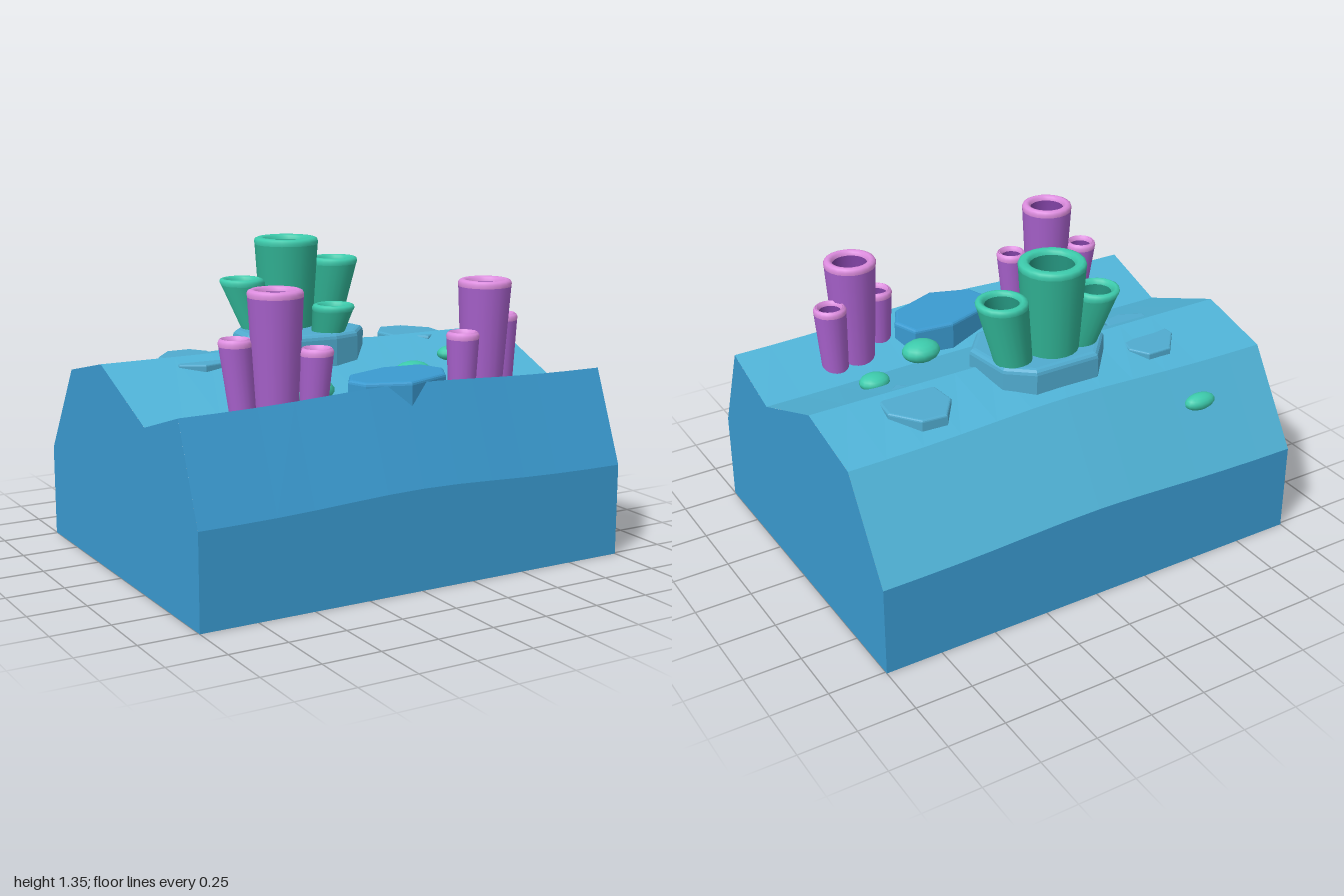
import * as THREE from 'three';

const mat = (name, color, side = THREE.FrontSide) => {
  const m = new THREE.MeshStandardMaterial({ color, side });
  m.name = name;
  return m;
};

export function createModel() {
  const model = new THREE.Group();
  model.name = 'reefBlock';

  const earth = mat('deep blue', 0x3a9ad0);
  const sand = mat('light blue', 0x50b3d7);
  const stone = mat('rock blue', 0x50abcf);
  const green = mat('green', 0x30b193);
  const greenRim = mat('green rim', 0x3ccaab);
  const greenInside = mat('green inside', 0x23917c);
  const purple = mat('purple', 0xa660ca);
  const purpleRim = mat('pink rim', 0xdc8cde);
  const purpleInside = mat('purple inside', 0x7d40a0);

  const add = (name, geometry, material, parent = model) => {
    const mesh = new THREE.Mesh(geometry, material);
    mesh.name = name;
    parent.add(mesh);
    return mesh;
  };

  // Terrain: cross-section [z, y, swell], swept along x with a gentle swell
  const profile = [
    [0.76, 0, 0], [0.76, 0.4, 0.03], [0.6, 0.8, 0.03], [0.28, 0.7, 0.012],
    [-0.16, 0.88, 0], [-0.5, 0.8, 0.03], [-0.76, 0.4, 0.03], [-0.76, 0, 0],
  ];
  const swell = (x) => Math.exp(-((x / 0.5) ** 2));
  const point = ([z, y, s], x) => [x, y + s * swell(x), z];
  const strip = (first, last) => {
    const out = [];
    const steps = 12;
    for (let k = first; k < last; k++) {
      for (let i = 0; i < steps; i++) {
        const x0 = -1 + (2 * i) / steps, x1 = -1 + (2 * (i + 1)) / steps;
        const a = point(profile[k], x0), b = point(profile[k], x1);
        const c = point(profile[(k + 1) % 8], x1), d = point(profile[(k + 1) % 8], x0);
        out.push(...a, ...b, ...c, ...a, ...c, ...d);
      }
    }
    return out;
  };
  const toGeometry = (positions) => {
    const g = new THREE.BufferGeometry();
    g.setAttribute('position', new THREE.Float32BufferAttribute(positions, 3));
    g.computeVertexNormals();
    return g;
  };
  add('terrainTop', toGeometry(strip(2, 6)), sand);
  const ends = [];
  const outline = profile.map(([z, y]) => new THREE.Vector2(z, y));
  for (const [a, b, c] of THREE.ShapeUtils.triangulateShape(outline, [])) {
    const p = [a, b, c].map((i) => outline[i]);
    // orient each triangle so the +x end faces outward
    const area = (p[1].x - p[0].x) * (p[2].y - p[0].y) - (p[1].y - p[0].y) * (p[2].x - p[0].x);
    if (area > 0) p.reverse();
    for (const q of p) ends.push(1, point([q.x, q.y, 0], 1)[1], q.x);
    for (const q of p.slice().reverse()) ends.push(-1, q.y, q.x);
  }
  add('terrainBody', toGeometry([...strip(0, 2), ...strip(6, 8), ...ends]), earth);

  // Flat bevelled rocks, outlined in [x, z]
  const rock = (name, points, bottom, top, bevel, material) => {
    const shape = new THREE.Shape(points.map(([x, z]) => new THREE.Vector2(x, -z)));
    const g = new THREE.ExtrudeGeometry(shape, {
      depth: top - bottom - 2 * bevel, bevelThickness: bevel, bevelSize: bevel,
      bevelOffset: -bevel, bevelSegments: 3,
    });
    g.rotateX(-Math.PI / 2).translate(0, bottom + bevel, 0);
    add(name, g, material);
  };
  rock('frontRock', [[-0.19, 0.48], [-0.12, 0.37], [0.08, 0.3], [0.26, 0.32], [0.3, 0.44],
    [0.24, 0.55], [0.02, 0.635], [-0.16, 0.57]], 0.66, 0.843, 0.015, earth);
  rock('centreRock', [[-0.34, -0.13], [-0.33, -0.28], [-0.2, -0.43], [0.1, -0.43], [0.21, -0.34],
    [0.24, -0.12], [0.14, 0], [0.02, 0.03], [-0.18, 0.015]], 0.76, 0.95, 0.025, stone);
  rock('leftBackRock', [[0.44, -0.32], [0.52, -0.43], [0.63, -0.42], [0.72, -0.3],
    [0.71, -0.2], [0.58, -0.1], [0.45, -0.2]], 0.78, 0.872, 0.01, stone);
  rock('rightBackRock', [[-0.68, -0.3], [-0.59, -0.41], [-0.48, -0.41], [-0.43, -0.33],
    [-0.49, -0.05], [-0.58, -0.03], [-0.68, -0.08]], 0.78, 0.859, 0.008, stone);

  // Tube corals: hollow flaring tubes, sheared from base to top
  const tube = (name, base, top, rBase, rTop, colours, floorY) => {
    const group = new THREE.Group();
    group.name = name;
    const [bx, by, bz] = base, [tx, ty, tz] = top;
    const h = ty - by, lip = 0.03;
    const inTop = rTop * 0.66, inBase = rBase * 0.62;
    const rAt = (y) => rBase + (rTop - rBase) * (y / h);
    const lathe = (part, points, material) => {
      const g = new THREE.LatheGeometry(points.map(([r, y]) => new THREE.Vector2(r, y)), 20);
      const p = g.attributes.position;
      for (let i = 0; i < p.count; i++) {
        const t = p.getY(i) / h;
        p.setXYZ(i, p.getX(i) + bx + (tx - bx) * t, p.getY(i) + by, p.getZ(i) + bz + (tz - bz) * t);
      }
      add(part, g, material, group);
    };
    lathe('tubeWall', [[rBase, 0], [rAt(h - lip), h - lip]], colours[0]);
    lathe('tubeRim', [[rAt(h - lip), h - lip], [rTop, h - 0.016], [rTop - 0.005, h - 0.005],
      [rTop - 0.016, h], [inTop + 0.014, h], [inTop + 0.004, h - 0.006], [inTop, h - 0.02]], colours[1]);
    const inside = [[inTop, h - 0.02], [inBase, floorY]];
    if (floorY > 0) inside.push([0, floorY]);
    lathe('tubeInside', inside, colours[2]);
    model.add(group);
  };
  const greens = [green, greenRim, greenInside];
  tube('tallGreenTube', [-0.065, 0.93, -0.275], [-0.065, 1.345, -0.275], 0.115, 0.143, greens, 0);
  tube('rightGreenTube', [-0.195, 0.93, -0.28], [-0.285, 1.175, -0.285], 0.075, 0.1, greens, 0);
  tube('leftGreenTube', [0.125, 0.93, -0.285], [0.193, 1.24, -0.3], 0.08, 0.11, greens, 0);
  tube('shortGreenTube', [0.025, 0.93, -0.065], [0.043, 1.07, -0.038], 0.07, 0.094, greens, 0);

  const purples = [purple, purpleRim, purpleInside];
  tube('rightTallPurpleTube', [-0.505, 0.71, 0.455], [-0.507, 1.235, 0.455], 0.085, 0.114, purples, 0.15);
  tube('rightOuterPurpleTube', [-0.625, 0.71, 0.405], [-0.652, 1.04, 0.385], 0.055, 0.07, purples, 0.1);
  tube('rightInnerPurpleTube', [-0.365, 0.71, 0.5], [-0.36, 1, 0.525], 0.055, 0.07, purples, 0.1);
  tube('leftTallPurpleTube', [0.5, 0.71, 0.435], [0.505, 1.205, 0.44], 0.085, 0.114, purples, 0.15);
  tube('leftOuterPurpleTube', [0.615, 0.71, 0.4], [0.643, 1.04, 0.37], 0.057, 0.072, purples, 0.1);
  tube('leftInnerPurpleTube', [0.36, 0.71, 0.49], [0.355, 1, 0.5], 0.055, 0.07, purples, 0);

  // Rounded green cushions scattered on the ground
  for (const [x, y, z, rx, ry, rz] of [
    [-0.26, 0.775, 0.29, 0.105, 0.055, 0.09], [0.28, 0.79, 0.235, 0.088, 0.048, 0.072],
    [0.6, 0.815, 0.055, 0.068, 0.035, 0.055], [-0.62, 0.675, -0.595, 0.075, 0.036, 0.042],
  ]) {
    const cushion = add('greenCushion', new THREE.SphereGeometry(1, 14, 9), greenRim);
    cushion.scale.set(rx, ry, rz);
    cushion.position.set(x, y, z);
  }
  return model;
}
